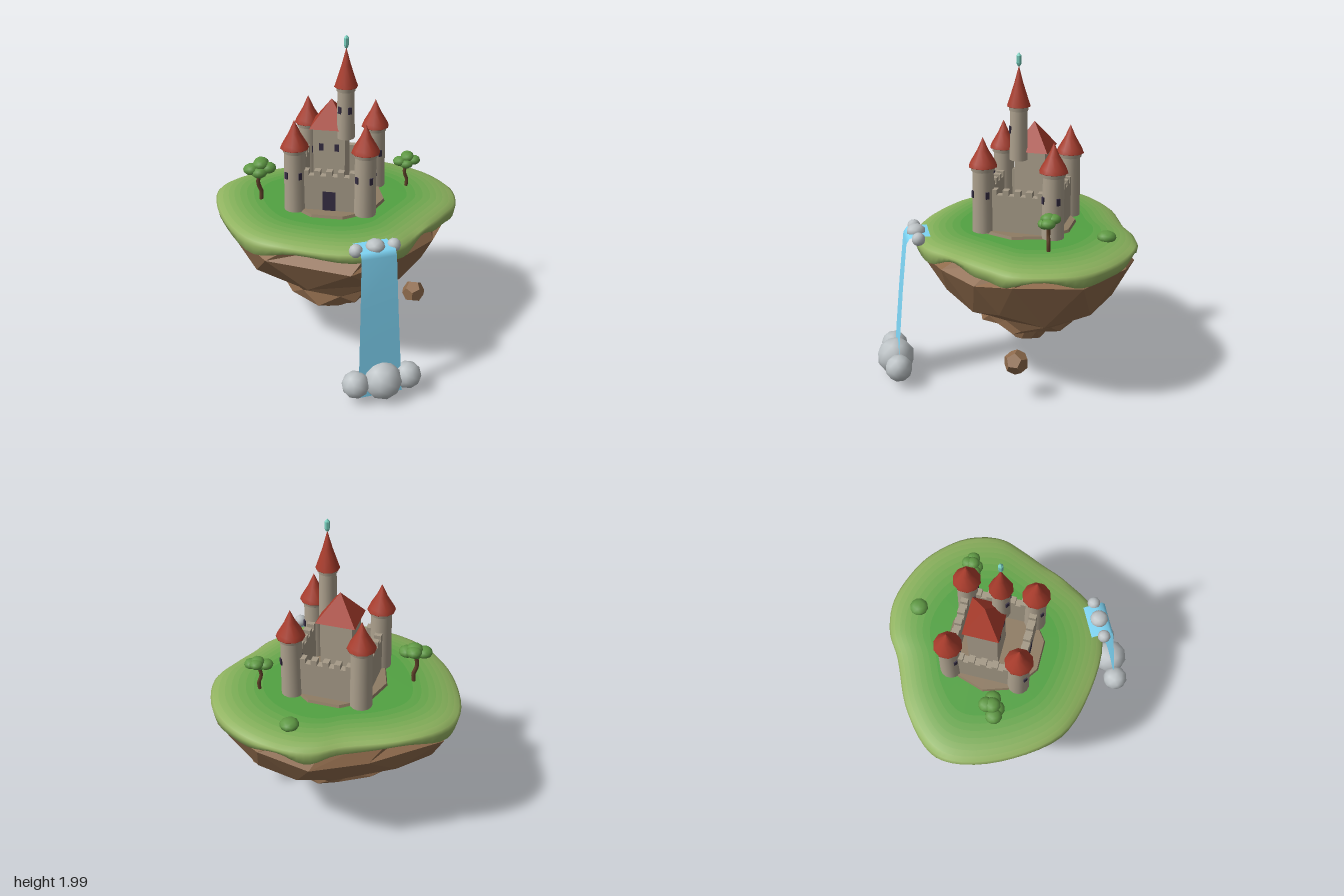
import * as THREE from 'three';

const V = (x, y, z) => new THREE.Vector3(x, y, z);
const mat = (color, extra = {}) => new THREE.MeshStandardMaterial({ color, roughness: 0.9, ...extra });
const STONE = mat(0xaca08d), WALL = mat(0xa59a87), ROOF = mat(0xa83c2c), DARK = mat(0x352d42);
const ROCK = mat(0x8f6b4c, { flatShading: true }), PLINTH = mat(0x8f7c64, { flatShading: true });
const LEAF = mat(0x5f9944), BARK = mat(0x5f4029), FOAM = mat(0xbcc2c5);
const hash = n => { const s = Math.sin(n * 127.1 + 3.7) * 43758.5453; return s - Math.floor(s); };

function add(parent, name, geo, material, x = 0, y = 0, z = 0) {
  const m = new THREE.Mesh(geo, material);
  m.name = name;
  m.position.set(x, y, z);
  parent.add(m);
  return m;
}

// Island outline seen from above (x, z), clockwise from the back
const MID_Z = -0.1;
const outline = new THREE.CatmullRomCurve3([
  [0.13, -0.8], [0.34, -0.765], [0.55, -0.66], [0.7, -0.49], [0.768, -0.23], [0.715, -0.07], [0.645, 0.085],
  [0.57, 0.25], [0.47, 0.42], [0.23, 0.555], [-0.145, 0.545], [-0.42, 0.45], [-0.65, 0.17], [-0.757, -0.15],
  [-0.72, -0.315], [-0.5, -0.52], [-0.19, -0.67], [-0.04, -0.765]
].map(([x, z]) => V(x, 0, z)), true);

// Surface through closed rings; point(row, col) gives each vertex
function loft(rows, cols, point) {
  const pos = [], idx = [];
  for (let i = 0; i < rows; i++) for (let j = 0; j < cols; j++) pos.push(...point(i, j).toArray());
  for (let i = 0; i < rows - 1; i++) for (let j = 0; j < cols; j++) {
    const a = i * cols + j, b = i * cols + (j + 1) % cols, c = a + cols, d = b + cols;
    idx.push(a, b, d, a, d, c);
  }
  const g = new THREE.BufferGeometry();
  g.setAttribute('position', new THREE.Float32BufferAttribute(pos, 3));
  g.setIndex(idx);
  g.computeVertexNormals();
  return g;
}

function buildIsland(root) {
  // Grass cap: [scale of outline, height, share of the wavy droop]
  const rows = [[0.001, 0.945, 0], [0.6, 0.943, 0], [0.67, 0.941, 0], [0.73, 0.939, 0], [0.79, 0.935, 0], [0.84, 0.93, 0],
    [0.89, 0.923, 0], [0.94, 0.912, 0], [0.98, 0.898, 0.1], [1, 0.882, 0.4], [0.99, 0.842, 1], [0.96, 0.844, 1], [0.86, 0.885, 0]];
  const cols = 80;
  const grass = loft(rows.length, cols, (i, j) => {
    const [s, y, w] = rows[i], p = outline.getPoint(j / cols), t = j / cols * Math.PI * 2;
    const droop = 0.022 * Math.sin(t * 6 + 0.6) + 0.012 * Math.sin(t * 11 + 1);
    return V(p.x * s, y + droop * w, MID_Z + (p.z - MID_Z) * s);
  });
  // Green fades towards the rim, darker underneath
  const field = new THREE.Color(0x52a242), rim = new THREE.Color(0x96b463), greens = [];
  for (let k = 0; k < 10; k++) {
    grass.addGroup(k * cols * 6, cols * 6, k);
    greens.push(mat(field.clone().lerp(rim, Math.min(1, k / 8)), { side: THREE.DoubleSide }));
  }
  grass.addGroup(10 * cols * 6, 2 * cols * 6, 10);
  greens.push(mat(0x6f9c49, { side: THREE.DoubleSide }));
  add(root, 'grassCap', grass, greens);

  // Faceted rock tapering to a point
  const layers = [[0.82, 0.905], [0.985, 0.79], [0.8, 0.55], [0.45, 0.375], [0.44, 0.33], [0.2, 0.26], [0.17, 0.195], [0.001, 0.15]];
  const n = 11;
  add(root, 'rockBase', loft(layers.length, n, (i, j) => {
    const [s0, y0] = layers[i], inner = i > 0 && i < layers.length - 1;
    const s = s0 * (inner ? 0.94 + 0.07 * hash(i * 31 + j) : 1);
    const y = y0 + (inner ? (hash(i * 57 + j * 3) - 0.5) * Math.min(0.09, s0 * 0.11) : 0);
    const p = outline.getPoint(((j + (i % 2) * 0.5) / n) % 1);
    return V(p.x * s, y, MID_Z + (p.z - MID_Z) * s);
  }), ROCK);
  add(root, 'floatingBoulder', new THREE.DodecahedronGeometry(0.075), ROCK, 0.53, 0.255, -0.175);
}

// Round tower with collar, conical roof and slit windows at given angles
function tower(parent, name, x, z, r, y0, y1, tip, winY, angles) {
  const g = new THREE.Group();
  g.name = name;
  g.position.set(x, 0, z);
  parent.add(g);
  const h = y1 - y0;
  add(g, 'towerBody', new THREE.CylinderGeometry(r * 0.92, r, h, 14), STONE, 0, y0 + h / 2, 0);
  add(g, 'towerCollar', new THREE.CylinderGeometry(r * 1.1, r * 1.02, 0.028, 14), STONE, 0, y1 - 0.014, 0);
  const rr = r * 1.18 + 0.006;
  const profile = [[0, y1 - 0.002], [rr, y1 - 0.002], [rr, y1], [rr * 0.88, y1 + 0.025], [rr * 0.4, y1 + (tip - y1) * 0.55], [0, tip]];
  const roof = new THREE.LatheGeometry(profile.map(p => new THREE.Vector2(...p)), 10);
  add(g, 'towerRoof', roof, ROOF);
  for (const a of angles) {
    const t = THREE.MathUtils.degToRad(a), d = r * 0.93;
    add(g, 'towerWindow', new THREE.BoxGeometry(0.022, 0.042, 0.014), DARK,
      Math.sin(t) * d, winY, Math.cos(t) * d).rotation.y = t;
  }
}

function buildCastle(root) {
  const castle = new THREE.Group();
  castle.name = 'castle';
  root.add(castle);
  const cx = 0.022, cz = -0.102, half = 0.213;
  add(castle, 'plinth', new THREE.CylinderGeometry(0.305, 0.322, 0.04, 10), PLINTH, cx, 0.94, -0.09).rotation.y = Math.PI / 10;

  // Corner towers
  for (const sx of [-1, 1]) for (const sz of [-1, 1])
    tower(castle, 'cornerTower', cx + 0.002 + sx * half, cz + sz * half, 0.068, 0.95, 1.352, 1.525, 1.185,
      sx > 0 ? [-40, 40, 130] : [-40, 40]);

  // Curtain walls with battlements
  for (let k = 0; k < 4; k++) {
    const wall = new THREE.Group();
    wall.name = 'curtainWall';
    wall.position.set(cx, 0, cz);
    wall.rotation.y = k * Math.PI / 2;
    castle.add(wall);
    add(wall, 'wallBody', new THREE.BoxGeometry(half * 2, 0.235, 0.045), WALL, 0, 1.067, half);
    for (let i = -2; i <= 2; i++)
      add(wall, 'merlon', new THREE.BoxGeometry(0.037, 0.032, 0.045), WALL, i * 0.071, 1.2, half);
  }
  add(castle, 'gate', new THREE.BoxGeometry(0.08, 0.125, 0.012), DARK, cx, 1.022, cz + half + 0.018);

  // Keep with pyramid roof
  add(castle, 'keep', new THREE.BoxGeometry(0.195, 0.465, 0.185), STONE, -0.008, 1.183, -0.132);
  const pyramid = new THREE.ConeGeometry(Math.SQRT1_2, 1, 4, 1);
  pyramid.rotateY(Math.PI / 4);
  add(castle, 'keepRoof', pyramid, mat(0xa83c2c, { flatShading: true }), -0.008, 1.497, -0.135).scale.set(0.24, 0.165, 0.22);
  for (const x of [-0.055, 0.04])
    add(castle, 'keepWindow', new THREE.BoxGeometry(0.026, 0.046, 0.014), DARK, x, 1.3, -0.042);

  // Spire with crystal finial
  tower(castle, 'spire', 0.09, -0.065, 0.055, 1.365, 1.69, 1.925, 1.55, [-35, 35]);
  const crystal = [[0, 1.918], [0.01, 1.925], [0.016, 1.94], [0.016, 1.982], [0, 2]].map(p => new THREE.Vector2(...p));
  add(castle, 'crystal', new THREE.LatheGeometry(crystal, 6), mat(0x78cfbe, { flatShading: true }), 0.09, 0, -0.065);
}

// Tree with a bent trunk and clustered leaf balls
function tree(root, name, x, z, s) {
  const g = new THREE.Group();
  g.name = name;
  g.position.set(x, 0.935, z);
  g.scale.setScalar(s);
  root.add(g);
  const path = new THREE.CatmullRomCurve3([V(0, 0, 0), V(0.004, 0.06, 0), V(-0.014, 0.12, 0.006), V(0, 0.21, 0)]);
  add(g, 'trunk', new THREE.TubeGeometry(path, 10, 0.013, 7), BARK);
  for (const [bx, by, bz, r] of [[-0.05, 0.215, 0.022, 0.051], [0, 0.24, -0.035, 0.048], [0.05, 0.22, -0.008, 0.05], [0, 0.2, 0.025, 0.052], [0.004, 0.242, 0, 0.05]])
    add(g, 'leaves', new THREE.IcosahedronGeometry(r, 1), LEAF, bx, by, bz).scale.y = 0.7;
}

function buildWaterfall(root) {
  // Sheet pouring over the rim: [x, y, z, half width]
  const steps = [[0.312, 0.94, 0.435, 0.104], [0.35, 0.945, 0.5, 0.104], [0.376, 0.937, 0.542, 0.105], [0.385, 0.905, 0.56, 0.106],
    [0.397, 0.6, 0.592, 0.115], [0.409, 0.3, 0.618, 0.126], [0.42, 0.025, 0.64, 0.137]];
  const water = new THREE.PlaneGeometry(1, 1, 1, steps.length - 1);
  const pos = water.attributes.position;
  steps.forEach(([x, y, z, w], i) => [-1, 1].forEach((side, k) =>
    pos.setXYZ(i * 2 + k, x + side * w * 0.89, y, z - side * w * 0.455)));
  water.computeVertexNormals();
  add(root, 'waterfall', water, mat(0x7fd6f6, { side: THREE.DoubleSide }));

  // Foam at the lip and where the water ends
  for (const [x, y, z, r, sy] of [[0.25, 0.935, 0.555, 0.041, 1], [0.353, 0.947, 0.5, 0.057, 0.75], [0.453, 0.935, 0.445, 0.041, 1],
    [0.28, 0.125, 0.705, 0.083, 1], [0.43, 0.125, 0.633, 0.116, 1], [0.57, 0.125, 0.555, 0.083, 1]])
    add(root, 'foam', new THREE.IcosahedronGeometry(r, 1), FOAM, x, y, z).scale.y = sy;
}

export function createModel() {
  const root = new THREE.Group();
  root.name = 'floatingCastleIsland';
  buildIsland(root);
  buildCastle(root);
  tree(root, 'rightTree', -0.43, 0.01, 1);
  tree(root, 'leftTree', 0.44, -0.34, 0.85);
  add(root, 'bush', new THREE.IcosahedronGeometry(0.058, 1), LEAF, 0.15, 0.952, -0.62).scale.y = 0.6;
  buildWaterfall(root);
  return root;
}
